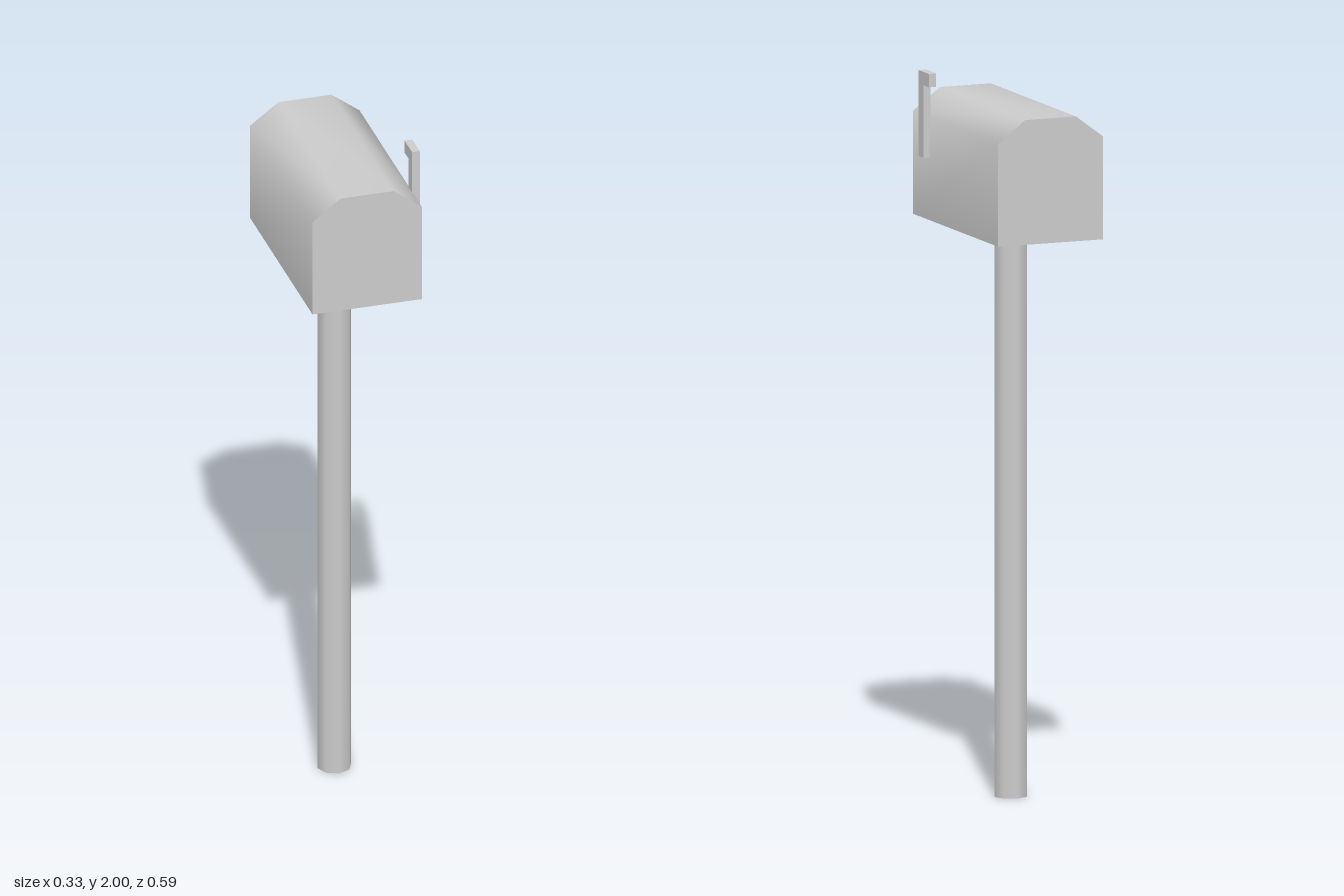
import * as THREE from 'three';
import { toCreasedNormals } from 'three/addons/utils/BufferGeometryUtils.js';

// Extrude a closed outline along z, starting at z0
function extrude(points, z0, depth) {
  const shape = new THREE.Shape(points.map(([x, y]) => new THREE.Vector2(x, y)));
  return new THREE.ExtrudeGeometry(shape, { depth, bevelEnabled: false }).translate(0, 0, z0);
}

export function createModel() {
  const group = new THREE.Group();
  const grey = new THREE.MeshStandardMaterial({ color: 0xcccccc });
  grey.name = 'grey';

  const add = (name, geometry) => {
    const mesh = new THREE.Mesh(geometry, grey);
    mesh.name = name;
    group.add(mesh);
    return mesh;
  };

  // Box with a softly shaded arched roof and sharp ends and floor
  const outline = [
    [-0.157, 1.585], [0.157, 1.585], [0.157, 1.872],
    [0.076, 1.933], [-0.076, 1.933], [-0.157, 1.872],
  ];
  const box = add('mailbox', toCreasedNormals(extrude(outline, -0.297, 0.594), Math.PI / 3));
  box.position.x = -0.01;

  // Round post
  const post = add('post', new THREE.CylinderGeometry(0.048, 0.048, 1.585, 8));
  post.position.set(-0.01, 0.7925, -0.018);

  // Raised flag on the left wall: a hooked plate, drawn in (-z, y)
  const hook = [
    [-0.214, 1.76], [-0.18, 1.76], [-0.18, 1.963],
    [-0.142, 1.963], [-0.142, 2], [-0.214, 2],
  ];
  const flag = add('flag', extrude(hook, 0.144, 0.022));
  flag.rotation.y = Math.PI / 2;

  return group;
}
